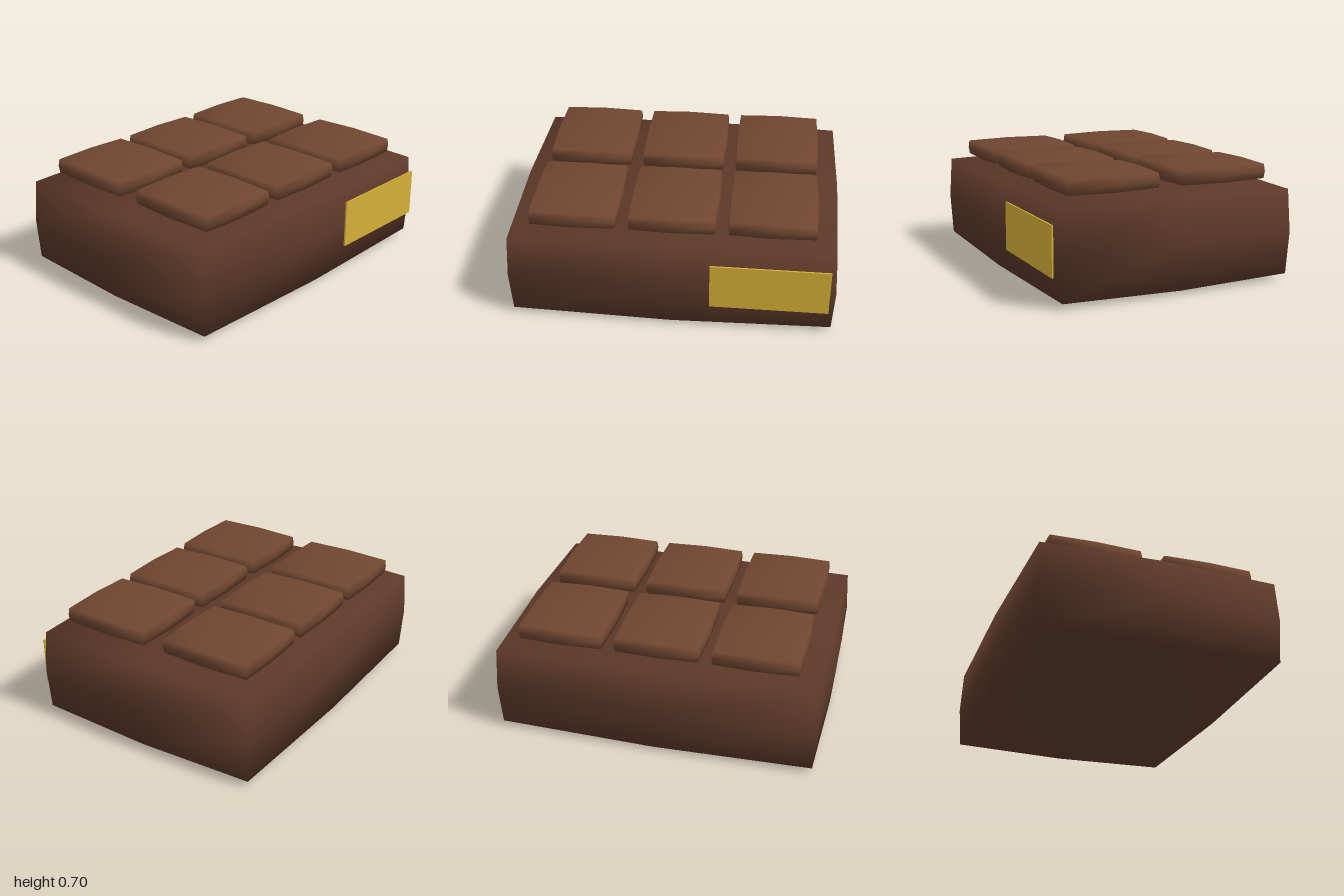
import * as THREE from 'three';
import { mergeVertices } from 'three/addons/utils/BufferGeometryUtils.js';

// Soft cushion: a 2x2x2 box whose face centres and edge midpoints swell outwards,
// with smooth normals shared across every edge.
function cushionGeometry(width, height, depth, faceBulge, edgeBulge) {
  let geometry = new THREE.BoxGeometry(width, height, depth, 2, 2, 2);
  geometry.deleteAttribute('uv');
  geometry.deleteAttribute('normal');
  geometry = mergeVertices(geometry);
  const position = geometry.attributes.position;
  const v = new THREE.Vector3();
  for (let i = 0; i < position.count; i++) {
    v.fromBufferAttribute(position, i);
    const signs = v.toArray().map((c) => (Math.abs(c) < 1e-4 ? 0 : Math.sign(c)));
    const sides = signs.filter((s) => s !== 0).length;
    const bulge = sides === 1 ? faceBulge : sides === 2 ? edgeBulge : 0;
    v.addScaledVector(new THREE.Vector3(...signs), bulge);
    position.setXYZ(i, v.x, v.y, v.z);
  }
  geometry.computeVertexNormals();
  return geometry;
}

function addMesh(parent, name, geometry, color, x, y, z) {
  const mesh = new THREE.Mesh(geometry, new THREE.MeshStandardMaterial({ color }));
  mesh.name = name;
  mesh.position.set(x, y, z);
  parent.add(mesh);
}

export function createModel() {
  const model = new THREE.Group();
  model.name = 'chocolateBlock';
  const centreZ = -0.008;

  // Main body
  addMesh(model, 'body', cushionGeometry(1.93, 0.516, 1.455, 0.036, 0.013),
    0x5c3828, 0, 0.295, centreZ);

  // Two rows of three raised squares
  const squares = new THREE.Group();
  squares.name = 'topSquares';
  model.add(squares);
  const squareGeometry = cushionGeometry(0.505, 0.086, 0.56, 0.014, 0.005);
  for (const row of [-1, 1]) {
    for (const column of [-1, 0, 1]) {
      addMesh(squares, 'topSquare', squareGeometry, 0x6f4630,
        column * 0.59, 0.648, centreZ + row * 0.355);
    }
  }

  // Thin plain label on the front
  addMesh(model, 'label', new THREE.BoxGeometry(0.705, 0.295, 0.01),
    0xd4af37, 0.588, 0.328, 0.765);

  return model;
}
